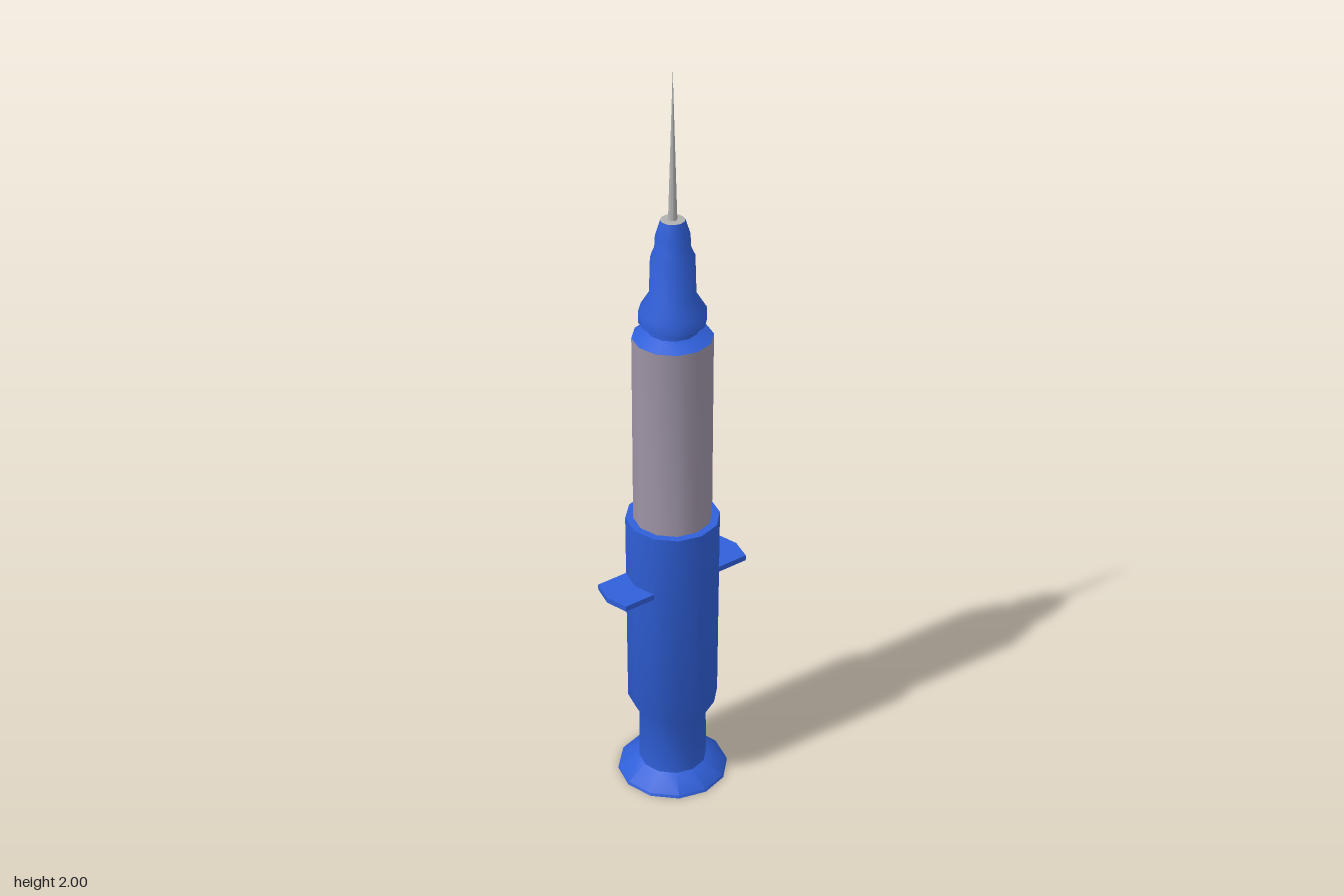
import * as THREE from 'three';
import { toCreasedNormals } from 'three/addons/utils/BufferGeometryUtils.js';

const SIDES = 12;
const blue = new THREE.MeshStandardMaterial({ color: 0x2f5fd8 });
const clear = new THREE.MeshStandardMaterial({ color: 0x9d93a5 });
const steel = new THREE.MeshStandardMaterial({ color: 0xb0b0b0 });

// Turned part from [radius, height] pairs, bottom to top
function turned(name, profile, material) {
  const points = profile.map(([r, y]) => new THREE.Vector2(r, y));
  const geometry = toCreasedNormals(new THREE.LatheGeometry(points, SIDES), 0.85);
  const mesh = new THREE.Mesh(geometry, material);
  mesh.name = name;
  return mesh;
}

// Finger tab with a shallow pointed end, mirrored by side
function fingerTab(name, side) {
  const shape = new THREE.Shape([
    [0.09, -0.06], [0.19, -0.06], [0.205, 0], [0.19, 0.06], [0.09, 0.06],
  ].map(([x, z]) => new THREE.Vector2(x, z)));
  const geometry = new THREE.ExtrudeGeometry(shape, { depth: 0.015, bevelEnabled: false });
  geometry.rotateX(-Math.PI / 2);
  if (side < 0) geometry.rotateY(Math.PI);
  const mesh = new THREE.Mesh(geometry, blue);
  mesh.name = name;
  mesh.position.y = 0.617;
  return mesh;
}

export function createModel() {
  const group = new THREE.Group();
  group.name = 'syringe';

  // Thumb flange, plunger neck and outer sleeve
  group.add(turned('plungerAndSleeve', [
    [0, 0], [0.147, 0], [0.145, 0.008], [0.09, 0.04], [0.088, 0.19],
    [0.118, 0.245], [0.12, 0.8], [0.095, 0.8],
  ], blue));
  group.add(fingerTab('leftFingerTab', 1), fingerTab('rightFingerTab', -1));

  // Fluid barrel
  group.add(turned('barrel', [[0.1, 0.79], [0.1, 1.315]], clear));

  // Stepped needle hub
  group.add(turned('hub', [
    [0.1, 1.315], [0.064, 1.334], [0.064, 1.346], [0.083, 1.356], [0.083, 1.388],
    [0.057, 1.43], [0.054, 1.53], [0.044, 1.552], [0.042, 1.587], [0.03, 1.625],
  ], blue));

  // Needle with its seat disc
  group.add(turned('needle', [[0.03, 1.625], [0.011, 1.626], [0, 2]], steel));
  return group;
}
